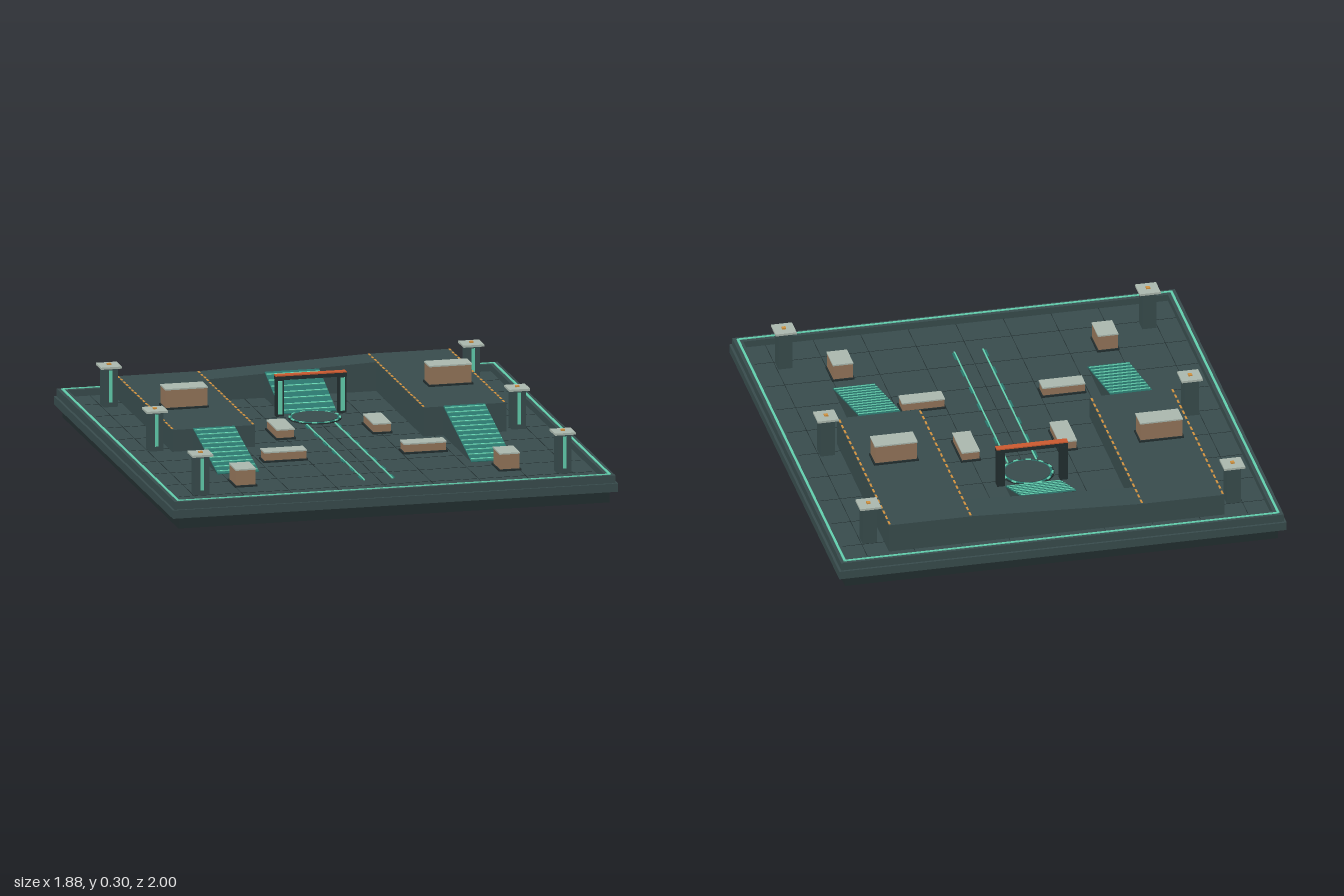
import * as THREE from 'three';

const mat = (name, color) => Object.assign(new THREE.MeshStandardMaterial({ color }), { name });

export function createModel() {
  const M = {
    body: mat('slate', 0x384c4d),
    dark: mat('dark slate', 0x222e2f),
    teal: mat('ramp teal', 0x2a756c),
    mint: mat('mint light', 0x62cfae),
    crate: mat('crate brown', 0x94755a),
    lid: mat('pale grey', 0xabb8ae),
    orange: mat('beam orange', 0xcb5a30),
    amber: mat('amber marking', 0xd0913f),
  };
  const root = new THREE.Group();
  root.name = 'arena';
  const FLOOR = 0.09, LEFT = 0.182, RIGHT = 0.212;

  const group = (name) => {
    const g = new THREE.Group();
    g.name = name;
    root.add(g);
    return g;
  };
  const add = (parent, name, geo, material) => {
    const m = new THREE.Mesh(geo, material);
    m.name = name;
    parent.add(m);
    return m;
  };
  // Box from its footprint centre, bottom height and size
  const box = (parent, name, material, x, y, z, w, h, d) => {
    const m = add(parent, name, new THREE.BoxGeometry(w, h, d), material);
    m.position.set(x, y + h / 2, z);
    return m;
  };
  const prism = (pts, depth) => new THREE.ExtrudeGeometry(
    new THREE.Shape(pts.map(p => new THREE.Vector2(...p))), { depth, bevelEnabled: false });

  // Stepped base with raised rim
  const base = group('base');
  box(base, 'plinth', M.dark, 0, 0, 0, 1.82, 0.05, 1.94);
  box(base, 'slab', M.body, 0, 0.05, 0, 1.88, 0.035, 2);
  box(base, 'floor', M.body, 0, 0.085, 0, 1.8, FLOOR - 0.085, 1.92);
  for (const s of [-1, 1]) {
    box(base, 'sideRim', M.body, s * 0.911, 0.085, 0, 0.038, 0.033, 1.98);
    box(base, 'endRim', M.body, 0, 0.085, s * 0.97, 1.784, 0.033, 0.04);
    box(base, 'sideRimLight', M.mint, s * 0.911, 0.118, 0, 0.01, 0.003, 1.95);
    box(base, 'endRimLight', M.mint, 0, 0.118, s * 0.972, 1.82, 0.003, 0.01);
  }
  // Thin floor seams
  for (let i = -4; i <= 4; i++) {
    box(base, 'floorSeam', M.dark, i * 0.2, FLOOR, 0, 0.002, 0.001, 1.9);
    box(base, 'floorSeam', M.dark, 0, FLOOR, i * 0.2, 1.78, 0.001, 0.002);
  }

  // Two raised decks joined by a sloping bridge at the back
  const decks = group('decks');
  box(decks, 'rightDeck', M.body, -0.53, FLOOR, -0.415, 0.35, LEFT - FLOOR, 0.94);
  box(decks, 'leftDeck', M.body, 0.53, FLOOR, -0.415, 0.35, RIGHT - FLOOR, 0.94);
  add(decks, 'bridge', prism([[-0.355, FLOOR], [0.355, FLOOR], [0.355, RIGHT], [-0.355, LEFT]], 0.145), M.body)
    .position.z = -0.885;
  for (const [x, y] of [[-0.7, LEFT], [-0.36, LEFT], [0.36, RIGHT], [0.7, RIGHT]])
    for (let i = 0; i < 20; i++)
      box(decks, 'edgeDash', M.amber, x, y, -0.865 + i * 0.047, 0.008, 0.002, 0.026);

  // Ramps descending towards the front
  const ramp = (name, x, w, z0, z1, top) => {
    const g = group(name), len = z1 - z0, h = top - FLOOR;
    const body = prism([[z0, FLOOR], [z1, FLOOR], [z0, top]], w);
    body.rotateY(-Math.PI / 2);
    body.translate(x + w / 2, 0, 0);
    add(g, 'rampBody', body, M.body);
    const slope = new THREE.Group();
    slope.name = 'rampSurface';
    slope.position.set(x, (top + FLOOR) / 2, (z0 + z1) / 2);
    slope.rotation.x = Math.atan2(h, len);
    g.add(slope);
    const run = Math.hypot(len, h);
    box(slope, 'rampPlate', M.teal, 0, -0.001, 0, w, 0.004, run);
    const n = Math.round(run / 0.042);
    for (let i = 0; i < n; i++)
      box(slope, 'tread', M.mint, 0, 0.003, ((i + 0.5) / n - 0.5) * run, w - 0.004, 0.003, 0.006);
  };
  ramp('rightRamp', -0.53, 0.175, 0.055, 0.47, LEFT);
  ramp('leftRamp', 0.527, 0.175, 0.055, 0.525, RIGHT);
  ramp('backRamp', 0, 0.23, -0.74, -0.45, 0.197);

  // Corner and side pylons
  for (const x of [-0.765, 0.765]) for (const z of [-0.77, 0, 0.765]) {
    const g = group('pylon');
    box(g, 'column', M.body, x, FLOOR, z, 0.06, 0.163, 0.06);
    box(g, 'columnLight', M.mint, x, 0.11, z + 0.031, 0.014, 0.135, 0.004);
    box(g, 'cap', M.lid, x, 0.253, z, 0.088, 0.009, 0.088);
    box(g, 'beacon', M.amber, x, 0.262, z, 0.016, 0.006, 0.016);
  }

  // Gate in front of the back ramp
  const gate = group('gate');
  for (const s of [-1, 1]) {
    box(gate, 'gatePost', M.dark, s * 0.132, FLOOR, -0.43, 0.032, 0.155, 0.032);
    box(gate, 'postLight', M.mint, s * 0.132, 0.1, -0.412, 0.018, 0.14, 0.004);
  }
  box(gate, 'gateBeam', M.dark, 0, 0.243, -0.43, 0.3, 0.016, 0.03);
  box(gate, 'beamTop', M.orange, 0, 0.259, -0.43, 0.3, 0.005, 0.03);

  // Round pad with a lit, dashed edge
  const pad = group('landingPad');
  const disc = (name, r, h, m) =>
    add(pad, name, new THREE.CylinderGeometry(r, r, h, 24), m).position.set(0, FLOOR + h / 2, -0.355);
  disc('padEdge', 0.11, 0.004, M.dark);
  disc('padRing', 0.104, 0.006, M.teal);
  disc('padTop', 0.094, 0.008, M.body);
  for (let i = 0; i < 12; i++) {
    const a = (i + 0.5) / 12 * Math.PI * 2;
    box(pad, 'padLight', M.mint, Math.sin(a) * 0.103, FLOOR, -0.355 + Math.cos(a) * 0.103, 0.022, 0.008, 0.008)
      .rotation.y = a;
  }

  // Guide lane running to the front
  const lane = group('guideLane');
  for (const s of [-1, 1]) {
    box(lane, 'laneLine', M.mint, s * 0.06, FLOOR, 0.23, 0.006, 0.004, 0.97);
    for (let i = 0; i < 7; i++)
      box(lane, 'laneDash', M.teal, s * 0.067, FLOOR, -0.21 + i * 0.148, 0.01, 0.003, 0.055);
  }

  // Crates: footprint centre, base height, size
  const crates = [
    [-0.56, LEFT, -0.325, 0.18, 0.088, 0.09],
    [0.555, RIGHT, -0.325, 0.18, 0.088, 0.09],
  ];
  for (const s of [-1, 1]) crates.push(
    [s * 0.557, FLOOR, 0.645, 0.086, 0.076, 0.118],
    [s * 0.295, FLOOR, 0.293, 0.18, 0.045, 0.07],
    [s * 0.204, FLOOR, -0.12, 0.076, 0.045, 0.176]);
  for (const [x, y, z, w, h, d] of crates) {
    const g = group('crate');
    box(g, 'crateFoot', M.dark, x, y, z, w + 0.008, 0.008, d + 0.008);
    box(g, 'crateBody', M.crate, x, y + 0.008, z, w - 0.004, h - 0.014, d - 0.004);
    box(g, 'crateLid', M.lid, x, y + h - 0.006, z, w, 0.006, d);
  }
  return root;
}
